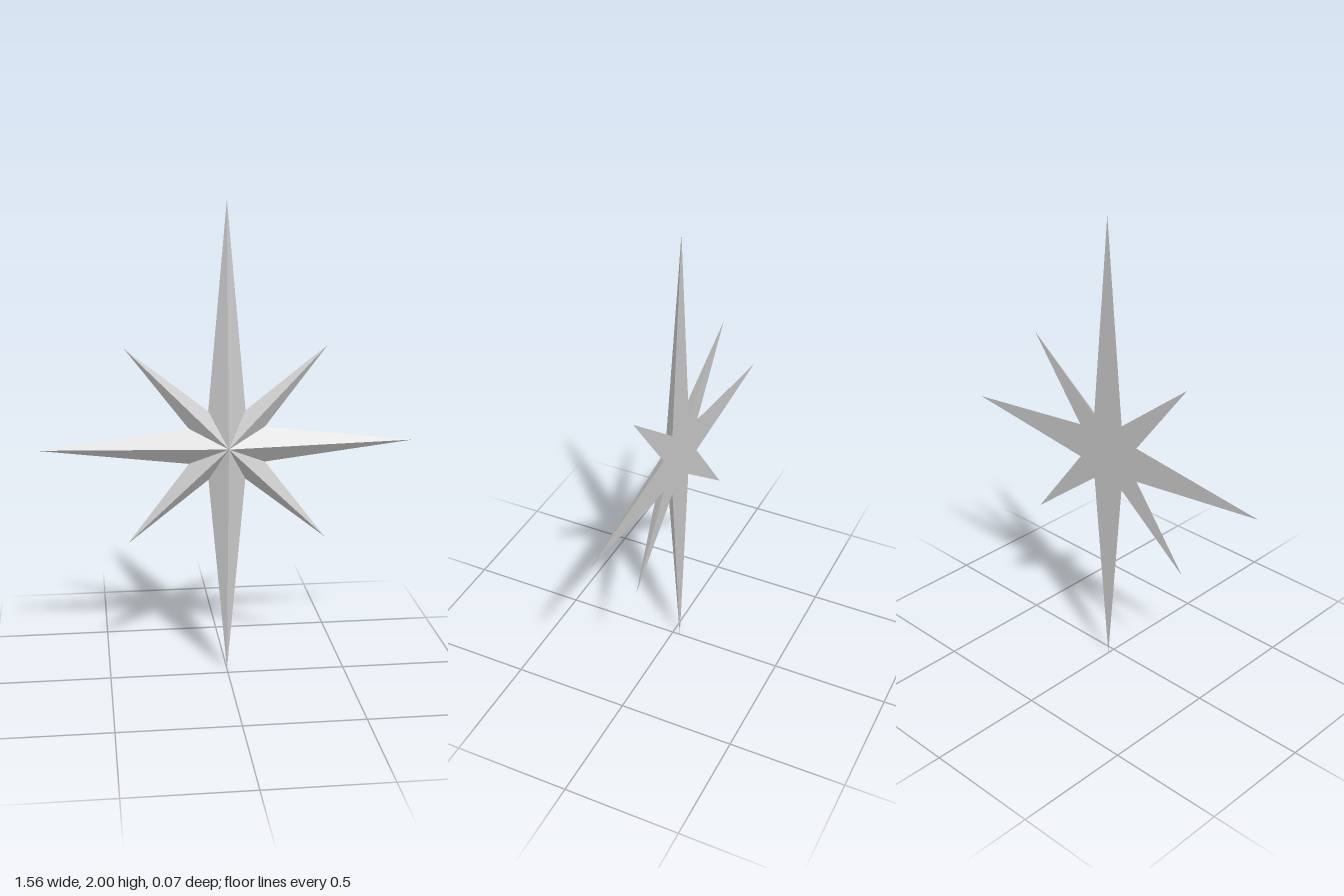
import * as THREE from 'three';

const BACK = -0.035, APEX = 0.035, CENTRE_Y = 1;

// One quadrant of the outline: side tip, notch, diagonal tip, notch, upright tip
const QUADRANT = [[0.78, 0], [0.158, 0.075], [0.415, 0.412], [0.077, 0.146], [0, 1]];

// Mirror the quadrant into a 16-point counter-clockwise outline
function starOutline() {
  const points = [];
  for (let i = 0; i < 16; i++) {
    const k = i % 8;
    const [x, y] = QUADRANT[k <= 4 ? k : 8 - k];
    const sx = i > 4 && i < 12 ? -1 : 1;
    const sy = i > 8 ? -1 : 1;
    points.push([x * sx, y * sy]);
  }
  return points;
}

function meshFrom(name, positions, material) {
  const geometry = new THREE.BufferGeometry();
  geometry.setAttribute('position', new THREE.Float32BufferAttribute(positions, 3));
  geometry.computeVertexNormals();
  const mesh = new THREE.Mesh(geometry, material);
  mesh.name = name;
  return mesh;
}

export function createModel() {
  const group = new THREE.Group();
  group.name = 'eightPointedStar';
  const material = new THREE.MeshStandardMaterial({ color: 0xcccccc, flatShading: true });
  const outline = starOutline();
  const front = [], back = [];

  // Each outline edge gives a facet up to the apex and a slice of the flat back
  outline.forEach(([ax, ay], i) => {
    const [bx, by] = outline[(i + 1) % outline.length];
    front.push(0, 0, APEX, ax, ay, BACK, bx, by, BACK);
    back.push(0, 0, BACK, bx, by, BACK, ax, ay, BACK);
  });

  const star = new THREE.Group();
  star.name = 'star';
  star.position.y = CENTRE_Y;
  star.add(meshFrom('facetedFront', front, material), meshFrom('flatBack', back, material));
  group.add(star);
  return group;
}
